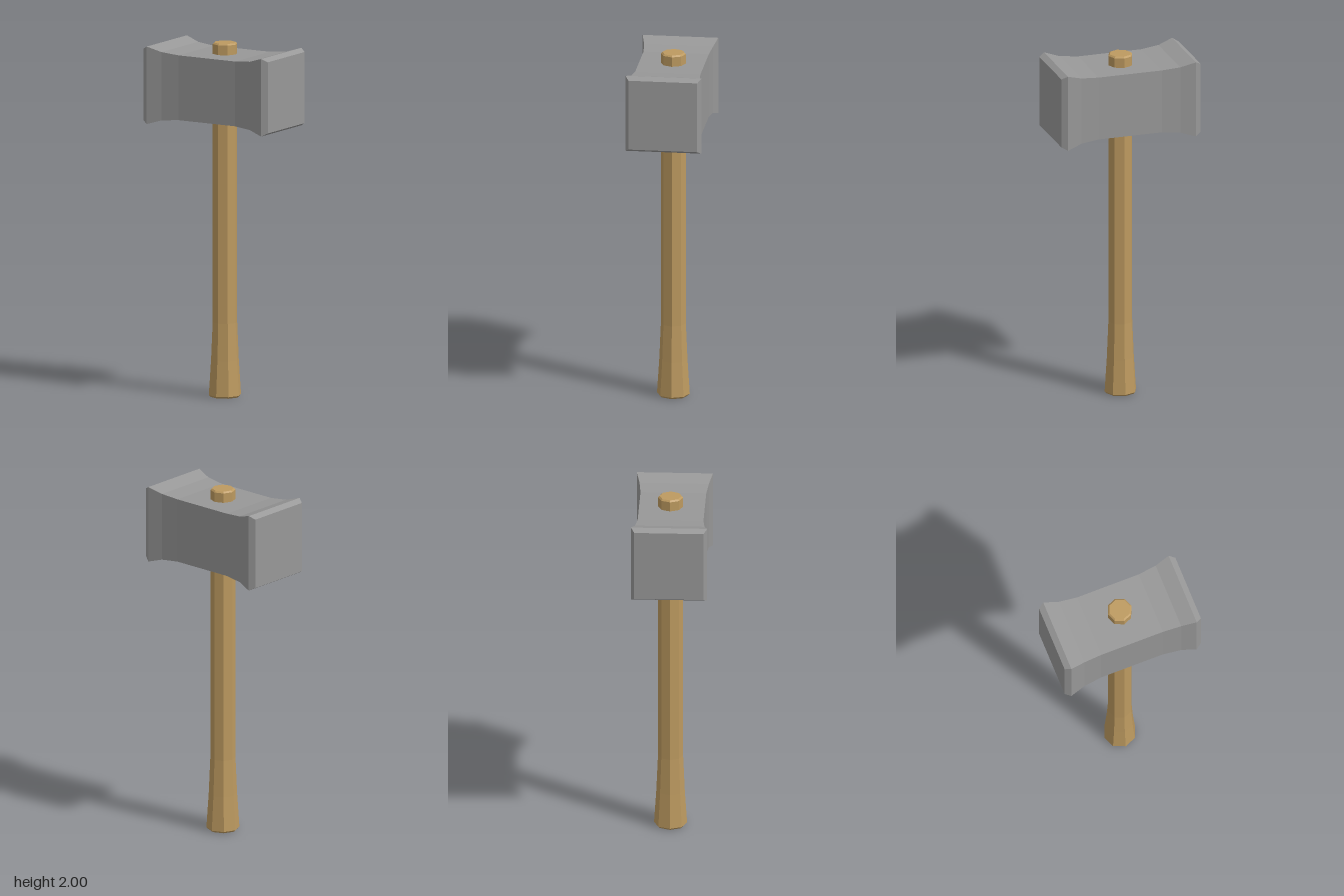
import * as THREE from 'three';

// Skin a row of rectangular cross-sections [x, halfHeight, halfDepth], closed at both ends
function loftRectangles(sections) {
  const corners = [[-1, 1], [-1, -1], [1, -1], [1, 1]];
  const positions = [];
  const index = [];
  for (const [x, h, d] of sections) {
    for (const [sy, sz] of corners) positions.push(x, sy * h, sz * d);
  }
  for (let i = 0; i < sections.length - 1; i++) {
    for (let k = 0; k < 4; k++) {
      const a = i * 4 + k;
      const b = i * 4 + (k + 1) % 4;
      index.push(a, b, b + 4, a, b + 4, a + 4);
    }
  }
  const e = (sections.length - 1) * 4;
  index.push(0, 2, 1, 0, 3, 2, e, e + 1, e + 2, e, e + 2, e + 3);
  const geometry = new THREE.BufferGeometry();
  geometry.setAttribute('position', new THREE.Float32BufferAttribute(positions, 3));
  geometry.setIndex(index);
  const flat = geometry.toNonIndexed();
  flat.computeVertexNormals();
  return flat;
}

export function createModel() {
  const group = new THREE.Group();
  group.name = 'hammer';
  const metal = new THREE.MeshStandardMaterial({ color: 0x989898, flatShading: true });
  const wood = new THREE.MeshStandardMaterial({ color: 0xbd9a60, flatShading: true });

  // Head: waisted block flaring to chamfered striking faces, mirrored about x = 0
  const half = [
    [0.185, 0.183, 0.183],
    [0.29, 0.193, 0.193],
    [0.375, 0.219, 0.212],
    [0.408, 0.201, 0.193],
  ];
  const mirrored = half.map(([x, h, d]) => [-x, h, d]).reverse();
  const head = new THREE.Mesh(loftRectangles([...mirrored, ...half]), metal);
  head.name = 'head';
  head.position.y = 1.754;
  group.add(head);

  // Handle: eight-sided shaft with a flared grip and bevelled ends
  const profile = [
    [0, 0], [0.083, 0], [0.092, 0.01], [0.079, 0.21], [0.07, 0.42],
    [0.07, 1.992], [0.061, 2], [0, 2],
  ].map(([r, y]) => new THREE.Vector2(r, y));
  const handle = new THREE.Mesh(new THREE.LatheGeometry(profile, 8), wood);
  handle.name = 'handle';
  handle.position.set(0.001, 0, -0.008);
  group.add(handle);

  return group;
}
